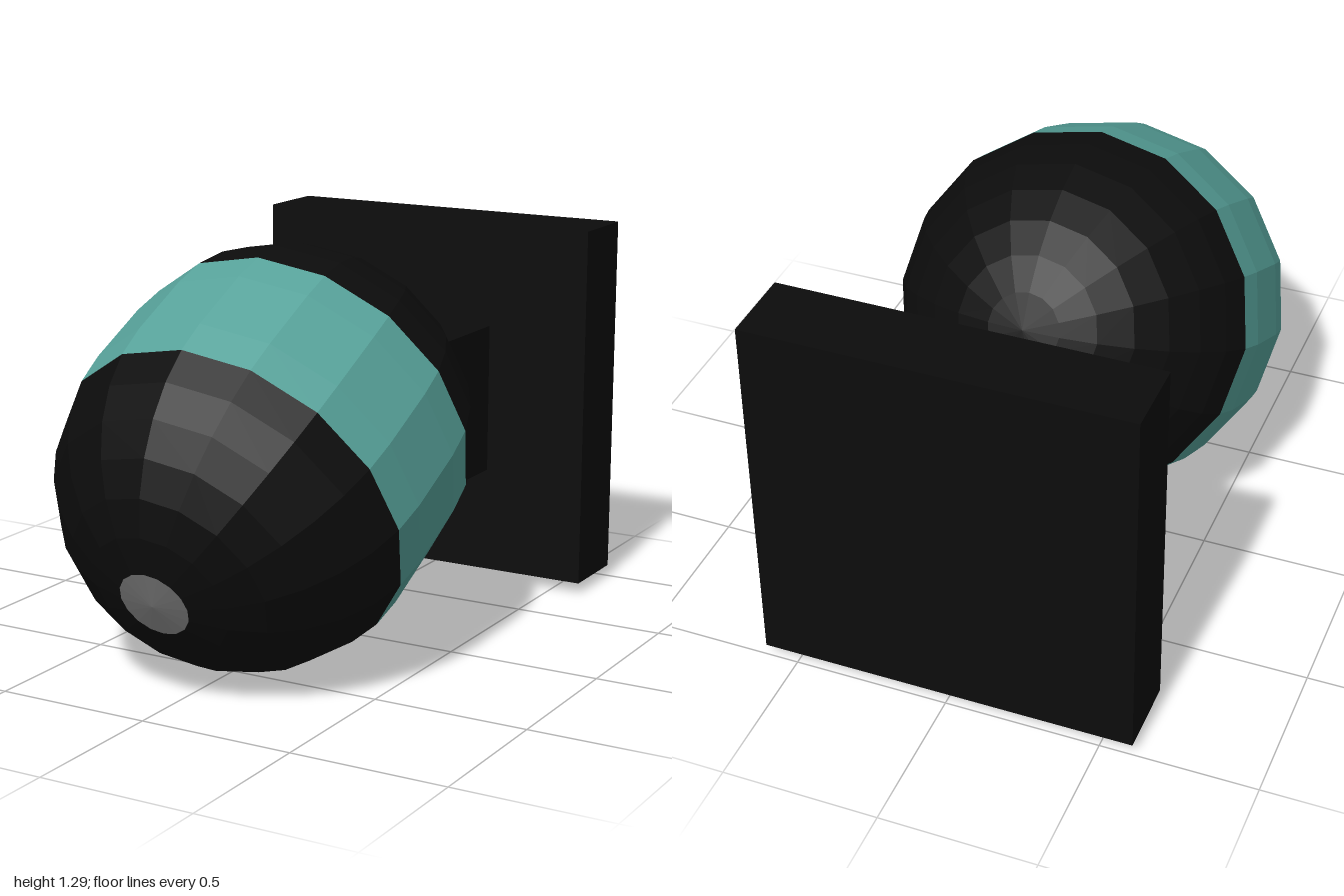
import * as THREE from 'three';

const RADIUS = 0.593;      // radius of both rounded ends
const HALF_STRAIGHT = 0.121; // half length of the straight middle
const SIDES = 16;
const STEP = Math.PI / 16; // latitude step of the rounded ends

const paint = (name, color) => {
  const m = new THREE.MeshStandardMaterial({ color, flatShading: true });
  m.name = name;
  return m;
};

export function createModel() {
  const black = paint('black', 0x0c0c0c);
  const teal = paint('teal', 0x57a29a);
  const gray = paint('gray', 0x7a7a7a);

  const model = new THREE.Group();
  model.name = 'wallCamera';

  const add = (parent, name, geometry, material, x = 0, y = 0, z = 0) => {
    const mesh = new THREE.Mesh(geometry, material);
    mesh.name = name;
    mesh.position.set(x, y, z);
    parent.add(mesh);
  };

  // Point on the capsule profile at a latitude step, -8 (rear) to 8 (front)
  const ring = (i, side) => new THREE.Vector2(
    Math.abs(i) === 8 ? 0 : RADIUS * Math.cos(i * STEP),
    side * HALF_STRAIGHT + RADIUS * Math.sin(i * STEP));
  const rings = (from, to, side) => {
    const points = [];
    for (let i = from; i <= to; i++) points.push(ring(i, side));
    return points;
  };
  const turn = (points) => new THREE.LatheGeometry(points, SIDES);

  // Capsule body, its axis tipped forward and down
  const body = new THREE.Group();
  body.name = 'cameraBody';
  body.position.set(0, 0.647, 0.298);
  body.rotation.x = Math.PI / 2 + 0.455;
  add(body, 'rearShell', turn(rings(-8, -1, -1)), black);
  add(body, 'colourBand', turn([...rings(-1, 0, -1), ...rings(0, 1, 1)]), teal);
  add(body, 'frontShell', turn(rings(1, 7, 1)), black);
  add(body, 'lens', turn(rings(7, 8, 1)), gray);
  model.add(body);

  // Square arm and wall plate
  add(model, 'arm', new THREE.BoxGeometry(0.505, 0.505, 0.6), black, 0, 0.647, -0.46);
  add(model, 'wallPlate', new THREE.BoxGeometry(1.21, 1.21, 0.25), black, 0, 0.645, -0.875);

  return model;
}
